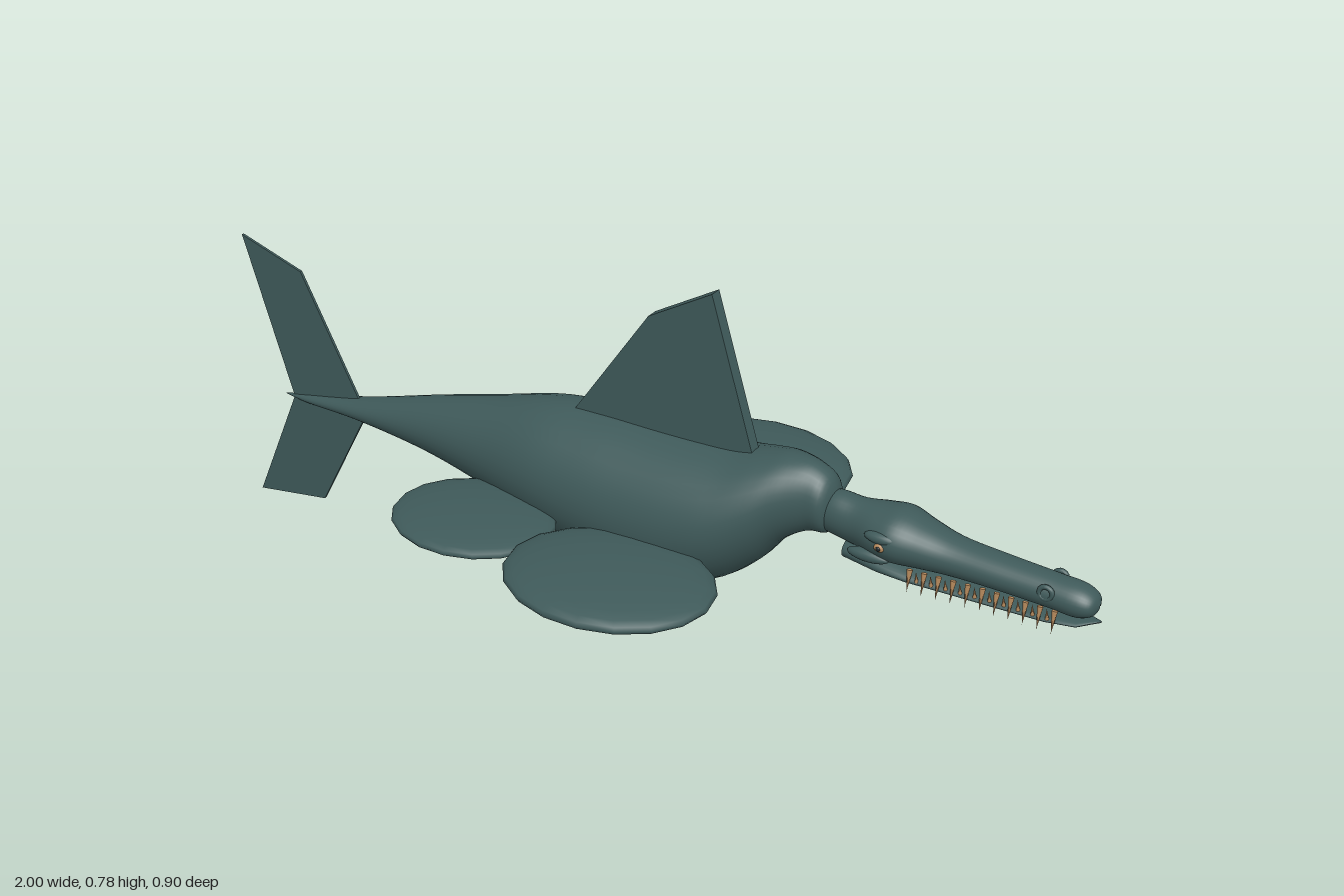
import * as THREE from 'three';

const skin = new THREE.MeshStandardMaterial({ name: 'slateSkin', color: 0x3f5a5a });
const ivory = new THREE.MeshStandardMaterial({ name: 'toothIvory', color: 0xb98c5e });
const dark = new THREE.MeshStandardMaterial({ name: 'darkPupil', color: 0x1c2426 });

// Loft of elliptical sections along x; each station is [x, top, bottom, half width]
function loft(stations, steps, sides = 32) {
  let rows = stations;
  if (steps > 1) {
    const main = new THREE.CatmullRomCurve3(stations.map(s => new THREE.Vector3(s[0], s[1], s[2])), false, 'centripetal');
    const wide = new THREE.CatmullRomCurve3(stations.map(s => new THREE.Vector3(s[0], s[3], 0)), false, 'centripetal');
    const n = (stations.length - 1) * steps;
    rows = Array.from({ length: n + 1 }, (_, i) => {
      const p = main.getPoint(i / n);
      return [p.x, p.y, p.z, Math.max(wide.getPoint(i / n).y, 0.0005)];
    });
  }
  const pos = [], idx = [];
  rows.forEach(([x, top, bottom, w], i) => {
    for (let j = 0; j < sides; j++) {
      const a = j / sides * Math.PI * 2;
      pos.push(x, (top + bottom) / 2 + (top - bottom) / 2 * Math.cos(a), w * Math.sin(a));
      if (i < rows.length - 1) {
        const k = i * sides + j, l = i * sides + (j + 1) % sides;
        idx.push(k, l, k + sides, l, l + sides, k + sides);
      }
    }
  });
  const g = new THREE.BufferGeometry();
  g.setAttribute('position', new THREE.Float32BufferAttribute(pos, 3));
  g.setIndex(idx);
  g.computeVertexNormals();
  return g;
}

// Flat fin cut from an outline in the x-y plane
function fin(points, depth) {
  const shape = new THREE.Shape(points.map(p => new THREE.Vector2(...p)));
  const g = new THREE.ExtrudeGeometry(shape, { depth, bevelEnabled: false });
  return g.translate(0, 0, -depth / 2);
}

export function createModel() {
  const model = new THREE.Group();
  model.name = 'longSnoutedSwimmer';
  const add = (name, geometry, material, x = 0, y = 0, z = 0) => {
    const m = new THREE.Mesh(geometry, material);
    m.name = name;
    m.position.set(x, y, z);
    model.add(m);
    return m;
  };

  // Trunk, from tail root to shoulders
  add('body', loft([
    [-0.91, 0.268, 0.266, 0.001], [-0.85, 0.28, 0.262, 0.012], [-0.7, 0.312, 0.264, 0.035],
    [-0.5, 0.37, 0.247, 0.068], [-0.35, 0.41, 0.22, 0.1], [-0.2, 0.448, 0.185, 0.136],
    [-0.08, 0.455, 0.158, 0.15], [0.05, 0.455, 0.143, 0.156], [0.15, 0.457, 0.155, 0.153],
    [0.23, 0.462, 0.187, 0.14], [0.3, 0.477, 0.245, 0.112], [0.35, 0.485, 0.305, 0.082],
    [0.4, 0.48, 0.335, 0.056], [0.435, 0.46, 0.34, 0.046], [0.455, 0.41, 0.37, 0.003],
  ], 5), skin);

  // Neck, skull and upper snout
  add('head', loft([
    [0.4, 0.42, 0.35, 0.03], [0.45, 0.434, 0.342, 0.039], [0.5, 0.43, 0.335, 0.045],
    [0.55, 0.434, 0.33, 0.064], [0.59, 0.437, 0.328, 0.07], [0.64, 0.423, 0.33, 0.058],
    [0.7, 0.408, 0.332, 0.046], [0.8, 0.399, 0.332, 0.041], [0.9, 0.393, 0.328, 0.038],
    [0.96, 0.388, 0.325, 0.037], [0.985, 0.375, 0.335, 0.026], [0.994, 0.358, 0.352, 0.001],
  ], 5), skin);

  add('lowerJaw', loft([
    [0.479, 0.322, 0.32, 0.001], [0.48, 0.345, 0.303, 0.035], [0.56, 0.342, 0.301, 0.052],
    [0.62, 0.328, 0.299, 0.048], [0.7, 0.32, 0.299, 0.04], [0.8, 0.318, 0.3, 0.036],
    [0.9, 0.319, 0.302, 0.034], [0.96, 0.322, 0.308, 0.028], [1.0, 0.326, 0.322, 0.001],
  ], 1), skin);

  // Upright fins
  add('dorsalFin', fin([[-0.15, 0.44], [0.275, 0.44], [0.172, 0.782], [0.03, 0.7]], 0.027), skin);
  add('tailFin', fin([[-1, 0.625], [-0.885, 0.268], [-1, 0.003], [-0.82, 0.03],
    [-0.69, 0.275], [-0.845, 0.575]], 0.006), skin);

  for (const s of [1, -1]) {
    const side = s > 0 ? 'left' : 'right';

    // Paddles: two overlapping flattened lobes
    const front = new THREE.SphereGeometry(1, 18, 14).scale(0.22, 0.033, 0.178);
    add(side + 'FrontPaddle', front, skin, 0.105, 0.265, s * 0.274);
    const rear = new THREE.SphereGeometry(1, 18, 14).scale(0.175, 0.024, 0.15);
    add(side + 'RearPaddle', rear, skin, -0.257, 0.259, s * 0.213);

    // Eye with brow, and nostril
    const brow = new THREE.SphereGeometry(1, 16, 10).scale(0.034, 0.012, 0.014);
    add(side + 'Brow', brow, skin, 0.572, 0.396, s * 0.058);
    const eye = new THREE.SphereGeometry(1, 12, 8).scale(0.012, 0.009, 0.008);
    add(side + 'Eye', eye, ivory, 0.575, 0.38, s * 0.066);
    const pupil = new THREE.SphereGeometry(1, 10, 8).scale(0.005, 0.005, 0.003);
    add(side + 'Pupil', pupil, dark, 0.575, 0.38, s * 0.073);
    add(side + 'Nostril', new THREE.TorusGeometry(0.013, 0.005, 8, 14), skin, 0.9, 0.371, s * 0.034);

    // Cheek fold at the mouth corner
    const cheek = new THREE.SphereGeometry(1, 14, 10).scale(0.045, 0.013, 0.014);
    add(side + 'Cheek', cheek, skin, 0.545, 0.347, s * 0.052);

    // Splayed teeth along the upper jaw, small ones between them below
    for (let i = 0; i < 11; i++) {
      const x = 0.63 + i * 0.029;
      const z = 0.049 - 0.012 * Math.min(1, i / 5);
      const upper = add(side + 'UpperTooth', new THREE.ConeGeometry(0.006, 0.046, 6), ivory, x, 0.316, s * z);
      upper.rotation.x = Math.PI - s * 0.22;
      if (i < 10) {
        const lower = add(side + 'LowerTooth', new THREE.ConeGeometry(0.004, 0.026, 6), ivory, x + 0.0145, 0.327, s * (z - 0.004));
        lower.rotation.x = s * 0.2;
      }
    }
  }
  return model;
}
